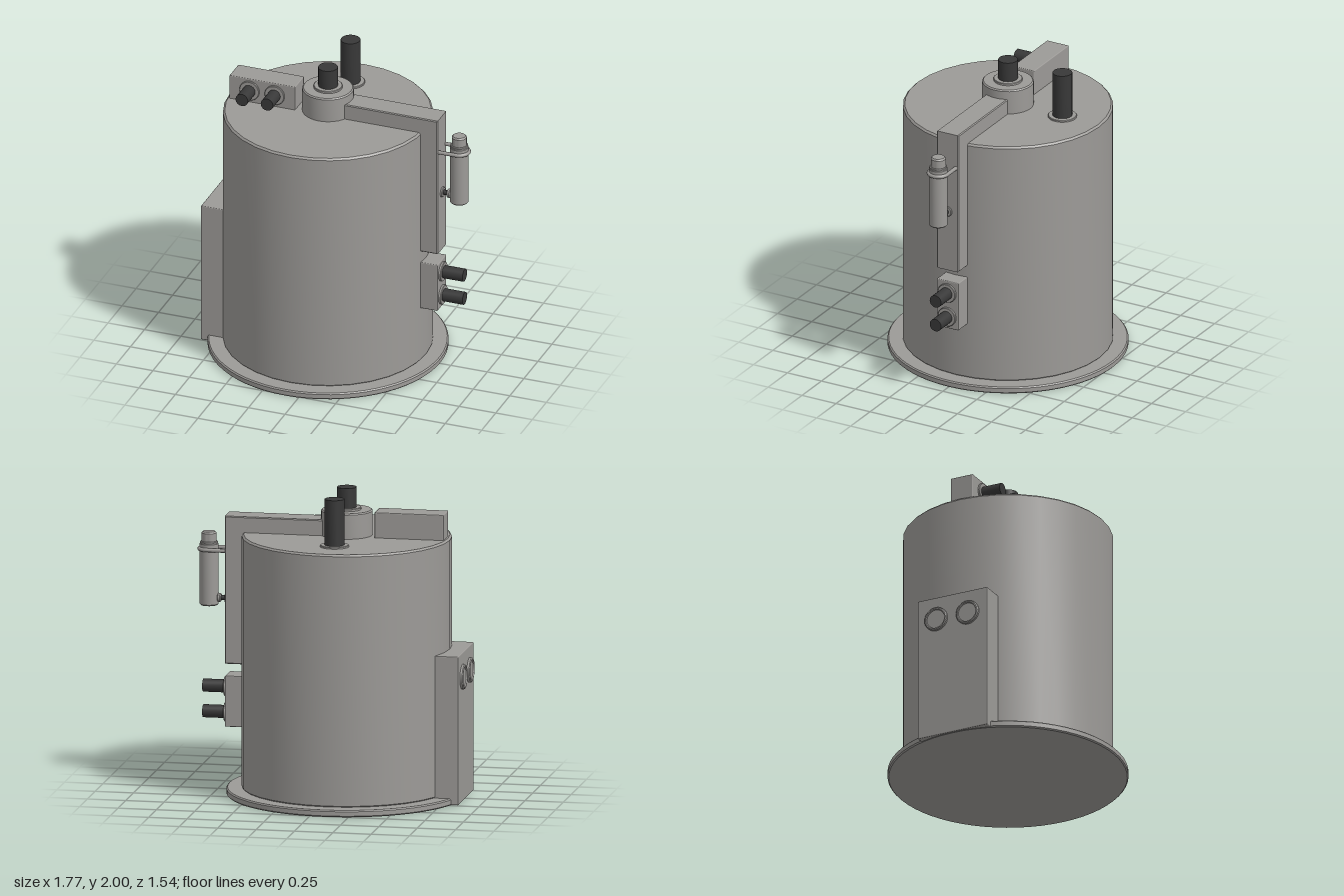
import * as THREE from 'three';
import { toCreasedNormals } from 'three/addons/utils/BufferGeometryUtils.js';
import { RoundedBoxGeometry } from 'three/addons/geometries/RoundedBoxGeometry.js';

export function createModel() {
  const model = new THREE.Group();
  model.name = 'tank';
  const grey = new THREE.MeshStandardMaterial({ color: 0x9c9a97 });
  grey.name = 'grey metal';
  const dark = new THREE.MeshStandardMaterial({ color: 0x383838 });
  dark.name = 'dark rubber';
  const CX = -0.09; // axis of the tank

  function add(name, geometry, material, x = 0, y = 0, z = 0, parent = model) {
    const mesh = new THREE.Mesh(geometry, material);
    mesh.name = name;
    mesh.position.set(x, y, z);
    parent.add(mesh);
    return mesh;
  }

  // Turned part with sharp edges, profile given as [radius, height] from bottom to top
  function turned(profile, sides = 32) {
    const points = profile.map(([r, h]) => new THREE.Vector2(r, h));
    return toCreasedNormals(new THREE.LatheGeometry(points, sides), 0.5);
  }

  // Upright disc or drum with small chamfers
  function drum(r, y0, y1, c = 0.008, sides = 32) {
    return turned([[0, y0], [r - c, y0], [r, y0 + c], [r, y1 - c], [r - c, y1], [0, y1]], sides);
  }

  // Box between two corners with softened edges
  function box(name, x0, x1, y0, y1, z0, z1) {
    add(name, new RoundedBoxGeometry(x1 - x0, y1 - y0, z1 - z0, 2, 0.006), grey,
      (x0 + x1) / 2, (y0 + y1) / 2, (z0 + z1) / 2);
  }

  // Pipe stub with a flange, pointing along +y before it is turned
  function pipe(name, r, flangeR, flangeH, length, x, y, z) {
    const group = new THREE.Group();
    group.name = name;
    group.position.set(x, y, z);
    add('flange', drum(flangeR, -0.01, flangeH, 0.003), grey, 0, 0, 0, group);
    add('stub', turned([[0, 0], [r, 0], [r, length], [0, length]], 24), dark, 0, 0, 0, group);
    model.add(group);
    return group;
  }

  // Tank body, lid and base plate
  add('basePlate', drum(0.77, 0, 0.045, 0.008, 64), grey, CX);
  add('tankBody', drum(0.672, 0.04, 1.69, 0.012, 32), grey, CX);

  // Top hub and upright pipes
  add('topHub', drum(0.165, 1.68, 1.855), grey, CX);
  pipe('hubPipe', 0.063, 0.092, 0.015, 0.145, CX, 1.855, 0);
  pipe('rearPipe', 0.063, 0.092, 0.012, 0.31, CX, 1.69, -0.4);

  // Top junction box with two forward pipes
  box('topJunctionBox', -0.735, -0.285, 1.68, 1.855, -0.08, 0.08);
  for (const x of [-0.595, -0.423]) {
    pipe('junctionPipe', 0.042, 0.067, 0.012, 0.143, x, 1.773, 0.08).rotation.x = Math.PI / 2;
  }

  // Duct running from the hub over the lid and down the side
  const b = 0.006;
  const duct = new THREE.Shape([
    [CX, 1.67], [0.54, 1.67], [0.54, 0.83 + b], [0.69 - b, 0.83 + b], [0.69 - b, 1.793 - b], [CX, 1.793 - b],
  ].map(([x, y]) => new THREE.Vector2(x, y)));
  add('sideDuct', new THREE.ExtrudeGeometry(duct, {
    depth: 0.16 - 2 * b, bevelThickness: b, bevelSize: b, bevelSegments: 1,
  }), grey, 0, 0, -0.08 + b);

  // Lower side box with two pipes
  box('sidePortBox', 0.5, 0.69, 0.42, 0.752, -0.08, 0.08);
  for (const y of [0.503, 0.67]) {
    pipe('sidePipe', 0.042, 0.064, 0.015, 0.155, 0.69, y, 0).rotation.z = -Math.PI / 2;
  }

  // Small bottle held beside the duct
  const BX = 0.808;
  add('bottle', turned([
    [0, 1.195], [0.052, 1.195], [0.06, 1.203], [0.06, 1.595], [0.052, 1.606],
    [0.048, 1.608], [0.048, 1.665], [0.04, 1.675], [0, 1.675],
  ]), grey, BX);
  add('bottleNeckRing', drum(0.057, 1.575, 1.612, 0.004), grey, BX);

  // Wire clamp round the bottle
  const clampPath = new THREE.CurvePath();
  const arc = [];
  for (let i = 0; i <= 12; i++) {
    const a = -Math.PI / 2 + (Math.PI * i) / 12;
    arc.push(new THREE.Vector3(BX + 0.062 * Math.cos(a), 0, 0.062 * Math.sin(a)));
  }
  clampPath.add(new THREE.LineCurve3(new THREE.Vector3(0.68, 0, -0.062), arc[0]));
  clampPath.add(new THREE.CatmullRomCurve3(arc));
  clampPath.add(new THREE.LineCurve3(arc[12], new THREE.Vector3(0.68, 0, 0.062)));
  add('bottleClamp', new THREE.TubeGeometry(clampPath, 48, 0.013, 8), grey, 0, 1.562, 0);

  // Short link from the duct to the bottle
  const link = pipe('bottleLink', 0.016, 0.034, 0.012, 0.08, 0.69, 1.245, 0);
  link.rotation.z = -Math.PI / 2;
  add('linkCollar', drum(0.03, 0.038, 0.062, 0.006, 16), grey, 0, 0, 0, link);

  // Control cabinet with two round gauges
  box('controlCabinet', -0.865, -0.6, 0.003, 0.97, -0.25, 0.25);
  for (const z of [-0.113, 0.113]) {
    add('gauge', turned([
      [0.08, -0.01], [0.08, 0.014], [0.074, 0.02], [0.066, 0.02], [0.062, 0.012], [0, 0.012],
    ]), grey, -0.865, 0.815, z).rotation.z = Math.PI / 2;
  }

  return model;
}
